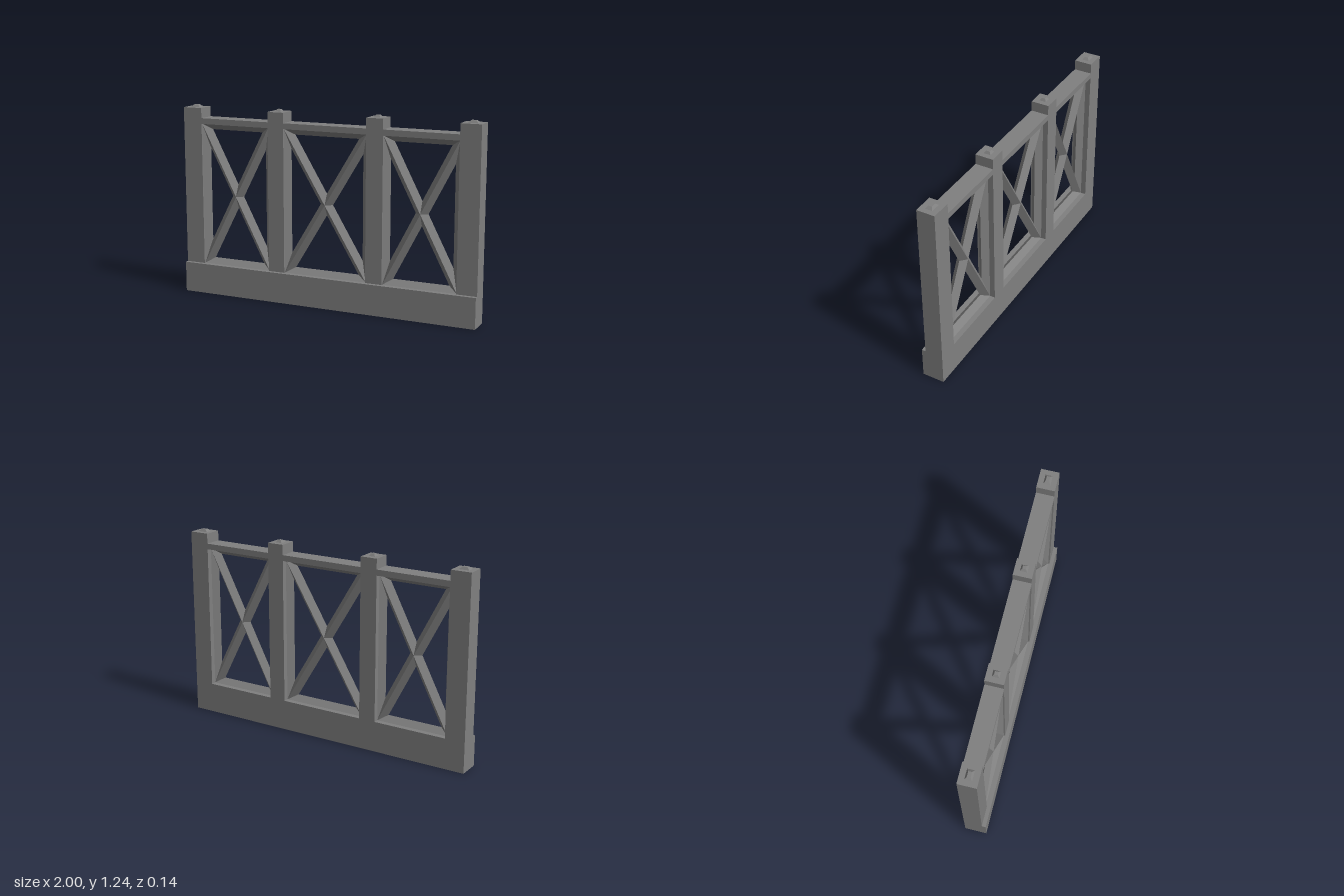
import * as THREE from 'three';

export function createModel() {
  const model = new THREE.Group();
  model.name = 'fence';
  const stone = new THREE.MeshStandardMaterial({ color: 0x808080, flatShading: true });
  stone.name = 'grey stone';

  const BASE_TOP = 0.196, RAIL_BOTTOM = 1.12, RAIL_TOP = 1.157, POST_TOP = 1.222;
  const BACK = -0.07, POST_FRONT = 0.045, BASE_FRONT = 0.07;
  const MID_Z = (BACK + POST_FRONT) / 2;
  const BAR_RADIUS = 0.036;

  function add(name, geometry, parent = model) {
    const mesh = new THREE.Mesh(geometry, stone);
    mesh.name = name;
    parent.add(mesh);
    return mesh;
  }

  function box(name, x0, x1, y0, y1, z0, z1) {
    const mesh = add(name, new THREE.BoxGeometry(x1 - x0, y1 - y0, z1 - z0));
    mesh.position.set((x0 + x1) / 2, (y0 + y1) / 2, (z0 + z1) / 2);
  }

  // Diamond-section bar between two points of the panel plane
  function bar(name, parent, x0, y0, x1, y1) {
    const length = Math.hypot(x1 - x0, y1 - y0);
    const mesh = add(name, new THREE.CylinderGeometry(BAR_RADIUS, BAR_RADIUS, length, 4), parent);
    mesh.position.set((x0 + x1) / 2, (y0 + y1) / 2, 0);
    mesh.rotation.z = Math.atan2(y1 - y0, x1 - x0) - Math.PI / 2;
  }

  // Bevelled stud on top of a post
  function stud(x, width) {
    const depth = 0.044, height = 0.015;
    const geometry = new THREE.CylinderGeometry(0.5 * Math.SQRT1_2, Math.SQRT1_2, 1, 4);
    geometry.rotateY(Math.PI / 4);
    geometry.scale(width, height, depth);
    add('postStud', geometry).position.set(x, POST_TOP + height / 2, MID_Z);
  }

  // Base wall, stepped out in front of the posts
  box('base', -1, 1, 0, BASE_TOP, BACK, BASE_FRONT);

  // Posts and studs
  for (const [x0, x1, studWidth] of [
    [-1, -0.87, 0.065], [-0.39, -0.28, 0.042], [0.28, 0.39, 0.042], [0.87, 1, 0.065],
  ]) {
    box('post', x0, x1, BASE_TOP, POST_TOP, BACK, POST_FRONT);
    stud((x0 + x1) / 2, studWidth);
  }

  // Bays: top rail, bevelled frame and crossed braces
  for (const [x0, x1] of [[-0.87, -0.39], [-0.28, 0.28], [0.39, 0.87]]) {
    box('topRail', x0, x1, RAIL_BOTTOM, RAIL_TOP, BACK, POST_FRONT);
    const panel = new THREE.Group();
    panel.name = 'crossPanel';
    model.add(panel);
    for (const y of [BASE_TOP, RAIL_BOTTOM]) bar('frameBar', panel, x0, y, x1, y);
    for (const x of [x0, x1]) bar('frameBar', panel, x, BASE_TOP, x, RAIL_BOTTOM);
    bar('crossBrace', panel, x0, BASE_TOP, x1, RAIL_BOTTOM);
    bar('crossBrace', panel, x1, BASE_TOP, x0, RAIL_BOTTOM);
  }

  return model;
}
